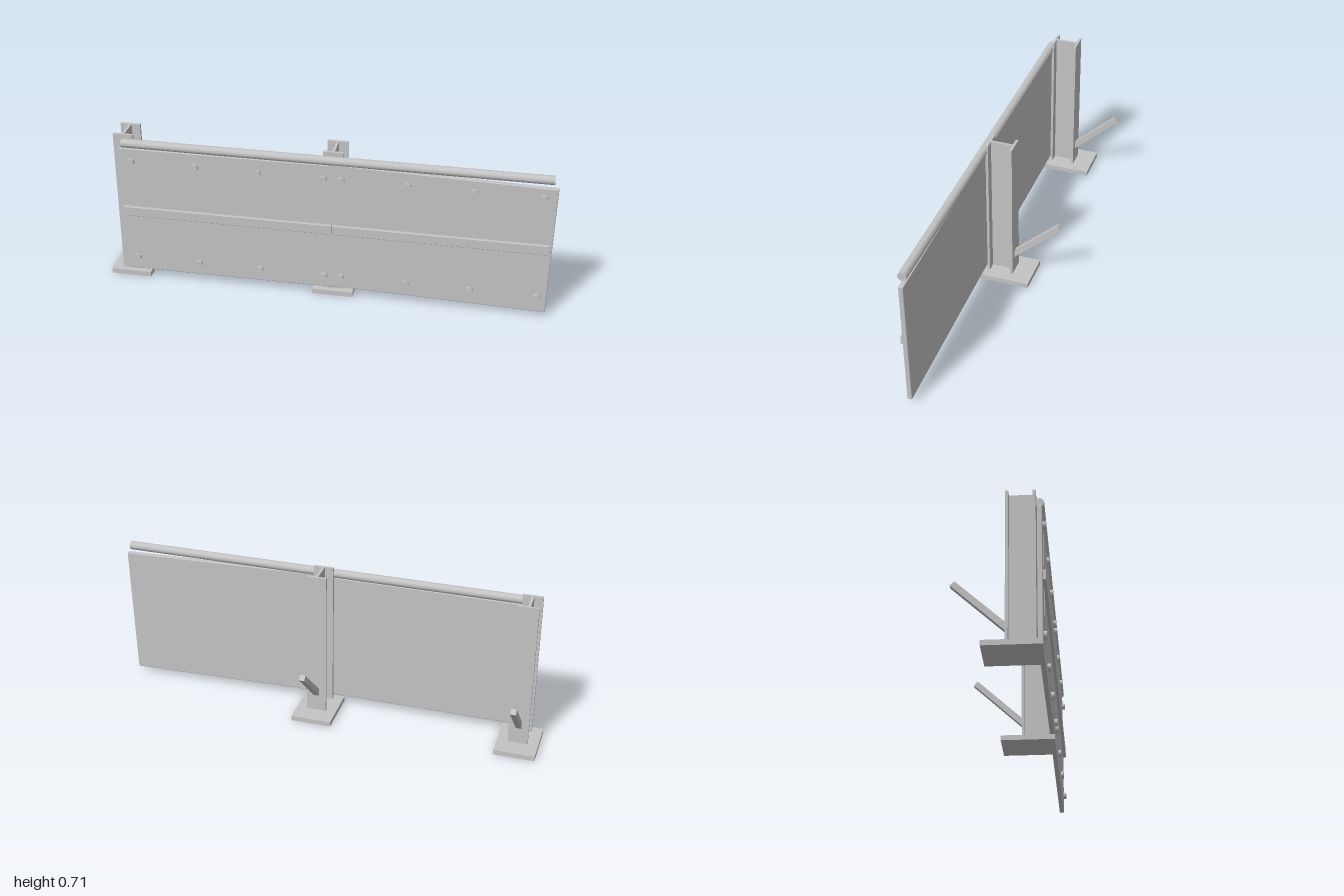
import * as THREE from 'three';
import { RoundedBoxGeometry } from 'three/addons/geometries/RoundedBoxGeometry.js';

const steel = new THREE.MeshStandardMaterial({ color: 0xc4c4c4 });
steel.name = 'steel grey';

function add(parent, name, geometry, x, y, z) {
  const mesh = new THREE.Mesh(geometry, steel);
  mesh.name = name;
  mesh.position.set(x, y, z);
  parent.add(mesh);
  return mesh;
}

// I-beam post on a base plate with a slanted rear brace
function makePost(x) {
  const post = new THREE.Group();
  post.name = 'post';
  post.position.x = x;
  add(post, 'basePlate', new THREE.BoxGeometry(0.185, 0.023, 0.236), 0, 0.0115, 0.059);

  const w = 0.045, t = 0.006, back = 0.03, front = 0.151, f = 0.012;
  const half = [[w, back], [w, back + f], [t, back + f], [t, front - f], [w, front - f], [w, front]];
  const outline = [...half, ...half.slice().reverse().map(([a, b]) => [-a, b])];
  // shape y becomes -z after the turn, so z is negated
  const section = new THREE.Shape(outline.map(([a, b]) => new THREE.Vector2(a, -b)));
  const beam = new THREE.ExtrudeGeometry(section, { depth: 0.683, bevelEnabled: false });
  beam.rotateX(-Math.PI / 2);
  add(post, 'beam', beam, 0, 0.022, 0);

  // Brace side outline in (-z, y)
  const side = new THREE.Shape([[-0.031, 0.098], [0.187, 0.302], [0.17, 0.321], [-0.031, 0.135]]
    .map(([a, b]) => new THREE.Vector2(a, b)));
  const brace = new THREE.ExtrudeGeometry(side, { depth: 0.025, bevelEnabled: false });
  brace.translate(0, 0, -0.0125);
  brace.rotateY(Math.PI / 2);
  add(post, 'brace', brace, 0, 0, 0);
  return post;
}

export function createModel() {
  const model = new THREE.Group();
  model.name = 'barrier';
  for (const x of [-0.907, 0.032]) model.add(makePost(x));

  // Two panels, the second sagging slightly
  const panelZ = 0.164;
  const left = add(model, 'leftPanel', new RoundedBoxGeometry(0.95, 0.611, 0.021, 2, 0.004), -0.445, 0.345, panelZ);
  left.rotation.z = 0.003;
  const right = add(model, 'rightPanel', new RoundedBoxGeometry(0.971, 0.611, 0.0215, 2, 0.004), 0.502, 0.339, panelZ);
  right.rotation.z = -0.0255;

  // Thin face plate inside the bolt rows
  add(model, 'facePlate', new THREE.BoxGeometry(1.735, 0.465, 0.003), 0.037, 0.3525, 0.1743);

  // Middle strips
  for (const [a, b] of [[-0.912, 0.032], [0.033, 0.977]]) {
    add(model, 'middleStrip', new RoundedBoxGeometry(b - a, 0.045, 0.018, 2, 0.003), (a + b) / 2, 0.341, 0.179);
  }

  // Bolt heads
  const bolt = new THREE.CylinderGeometry(0.0165, 0.0165, 0.015, 16);
  bolt.rotateX(Math.PI / 2);
  for (const x of [-0.87, -0.58, -0.298, -0.006, 0.07, 0.361, 0.645, 0.937]) {
    for (const y of [0.098, 0.586]) add(model, 'bolt', bolt, x, y, 0.1805);
  }

  // Top rail
  const rail = new THREE.CylinderGeometry(0.02, 0.02, 1.886, 10);
  rail.rotateZ(Math.PI / 2);
  add(model, 'topRail', rail, 0.033, 0.67, 0.163);
  return model;
}
